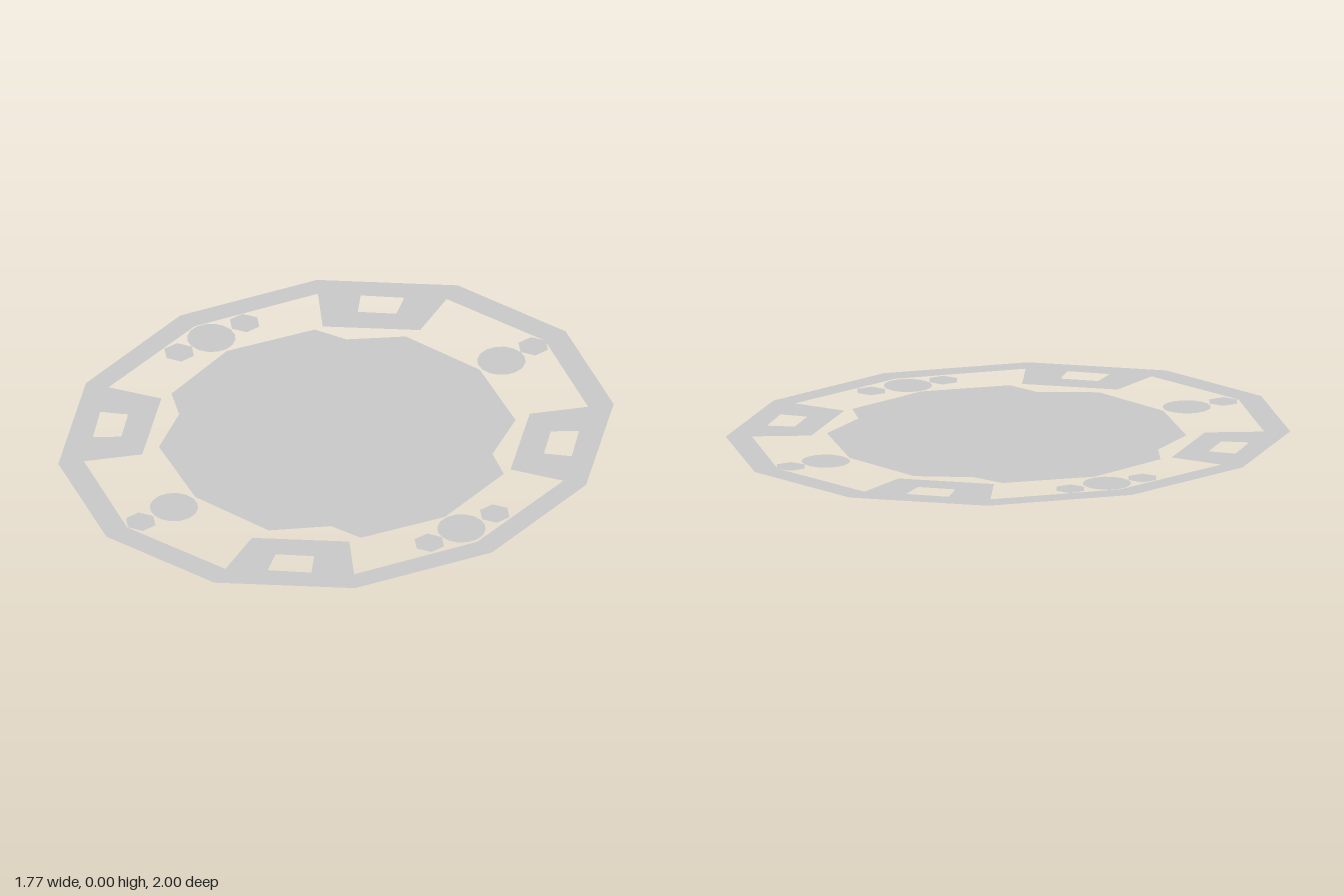
import * as THREE from 'three';

const material = new THREE.MeshStandardMaterial({ color: 0xcccccc, side: THREE.DoubleSide });

// Plan points are [x, z]; shapes are drawn with y = -z, then laid flat facing up.
const toPoints = (plan) => plan.map(([x, z]) => new THREE.Vector2(x, -z));

// Mirrors one quadrant (running from the z axis to the x axis) into a full outline.
function mirrorQuadrant(quadrant) {
  const inner = quadrant.slice(1, -1);
  const flip = (list, sx, sz) => list.map(([x, z]) => [x * sx, z * sz]);
  const first = quadrant[0], last = quadrant[quadrant.length - 1];
  return [
    first, ...inner, last,
    ...flip(inner, 1, -1).reverse(), [first[0], -first[1]],
    ...flip(inner, -1, -1), [-last[0], last[1]],
    ...flip(inner, -1, 1).reverse(),
  ];
}

function flatMesh(name, geometry) {
  geometry.rotateX(-Math.PI / 2);
  const mesh = new THREE.Mesh(geometry, material);
  mesh.name = name;
  return mesh;
}

export function createModel() {
  const group = new THREE.Group();
  group.name = 'flatPlan';

  // Outer ring with four inward corner blocks, each with a window
  const ring = new THREE.Shape(toPoints(mirrorQuadrant(
    [[0, -1], [0.443, -0.87], [0.765, -0.503], [0.885, 0]])));
  ring.holes.push(new THREE.Path(toPoints(mirrorQuadrant(
    [[0, -0.91], [0.402, -0.79], [0.312, -0.605], [0.534, -0.351], [0.698, -0.456], [0.804, 0]]))));
  const corner = [[0.497, -0.678], [0.6, -0.567], [0.529, -0.5], [0.439, -0.599]];
  for (const sx of [1, -1]) {
    for (const sz of [1, -1]) {
      ring.holes.push(new THREE.Path(toPoints(corner.map(([x, z]) => [x * sx, z * sz]))));
    }
  }
  group.add(flatMesh('outerRing', new THREE.ShapeGeometry(ring)));

  // Central floor with notched corners
  const floor = new THREE.Shape(toPoints([
    [0, -0.626], [0.312, -0.543], [0.423, -0.357], [0.54, -0.317], [0.619, 0],
    [0.54, 0.306], [0.423, 0.345], [0.312, 0.532], [0, 0.613],
    [-0.312, 0.532], [-0.423, 0.359], [-0.536, 0.306], [-0.62, 0],
    [-0.536, -0.318], [-0.423, -0.37], [-0.312, -0.543],
  ]));
  group.add(flatMesh('centralFloor', new THREE.ShapeGeometry(floor)));

  // Round tables and the hexagonal stools beside them
  const addDiscs = (name, radius, sides, spots) => spots.forEach(([x, z]) => {
    const disc = flatMesh(name, new THREE.CircleGeometry(radius, sides, Math.PI / 2));
    disc.position.set(x, 0, z);
    group.add(disc);
  });
  addDiscs('roundTable', 0.084, 16, [[0.003, -0.718], [0.003, 0.708], [0.708, -0.004], [-0.714, -0.004]]);
  addDiscs('hexStool', 0.055, 6, [
    [0.002, -0.857], [0.002, 0.852],
    [0.708, -0.149], [0.708, 0.136], [-0.714, -0.149], [-0.714, 0.136],
  ]);

  return group;
}
